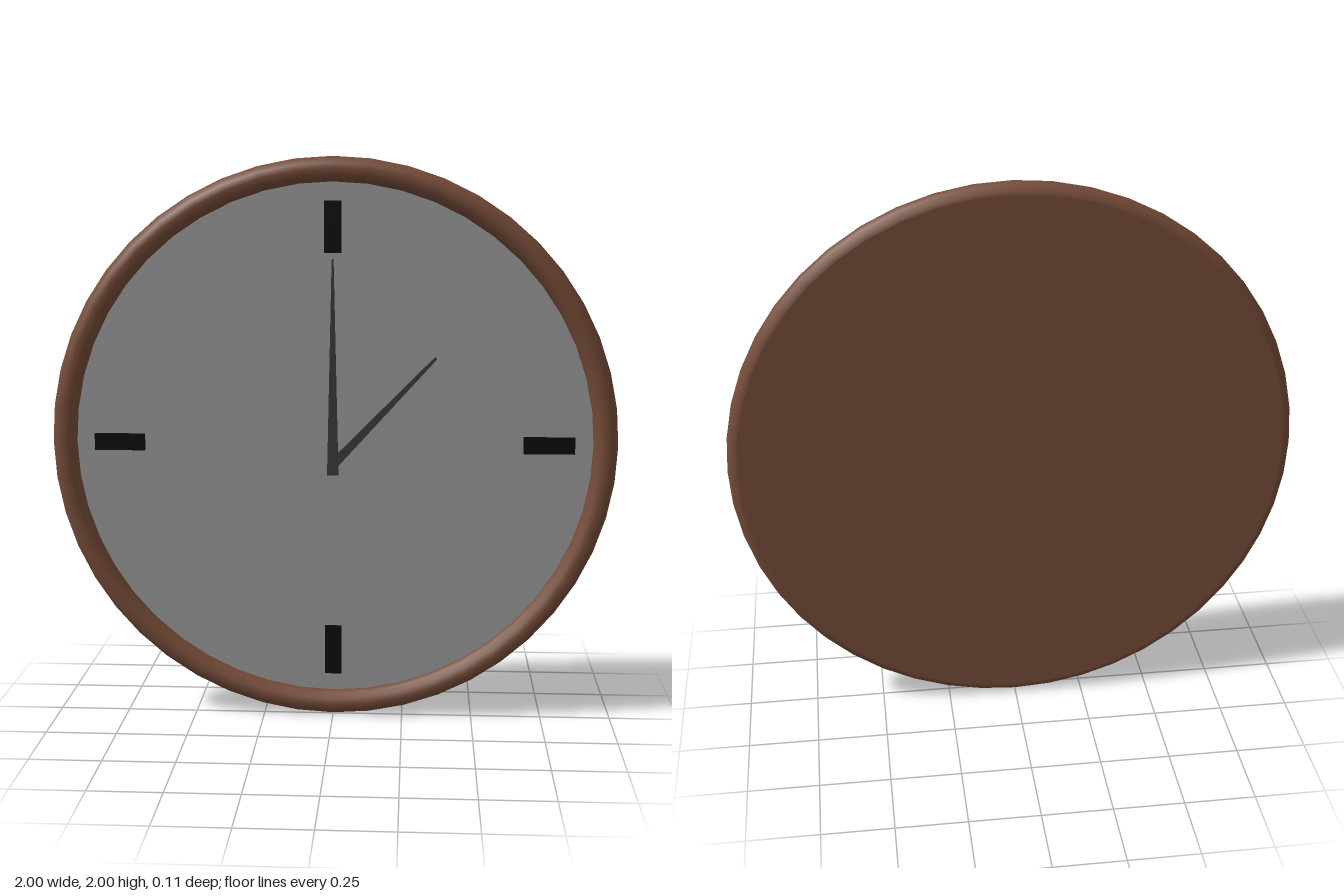
import * as THREE from 'three';

const wood = new THREE.MeshStandardMaterial({ color: 0x764c38 });
const dial = new THREE.MeshStandardMaterial({ color: 0x999999 });
const black = new THREE.MeshStandardMaterial({ color: 0x0c0c0c });
const steel = new THREE.MeshStandardMaterial({ color: 0x3a3a3c });

function addMesh(parent, name, geometry, material, x = 0, y = 0, z = 0) {
  const mesh = new THREE.Mesh(geometry, material);
  mesh.name = name;
  mesh.position.set(x, y, z);
  parent.add(mesh);
  return mesh;
}

// Tapered bar that starts at its own origin and narrows toward +y
function handGeometry(length, baseWidth, tipWidth, depth) {
  const geometry = new THREE.BoxGeometry(1, length, depth).translate(0, length / 2, 0);
  const p = geometry.attributes.position;
  for (let i = 0; i < p.count; i++) {
    const width = THREE.MathUtils.lerp(baseWidth, tipWidth, p.getY(i) / length);
    p.setX(i, p.getX(i) * width);
  }
  geometry.computeVertexNormals();
  return geometry;
}

export function createModel() {
  const root = new THREE.Group();
  root.name = 'wallClock';

  // The whole clock leans forward very slightly
  const clock = new THREE.Group();
  clock.name = 'clock';
  clock.position.y = 1;
  clock.rotation.x = 0.0125;
  root.add(clock);

  // Round wooden rim, closed at the back
  addMesh(clock, 'frame', new THREE.TorusGeometry(0.957, 0.043, 12, 48), wood);
  const back = addMesh(clock, 'backPanel', new THREE.CircleGeometry(0.965, 48), wood, 0, 0, -0.043);
  back.rotation.y = Math.PI;

  // Dial, recessed to the middle of the rim
  addMesh(clock, 'dial', new THREE.CircleGeometry(0.93, 48), dial);

  // Plain marks at the quarter hours
  for (let i = 0; i < 4; i++) {
    const a = (i * Math.PI) / 2;
    const mark = addMesh(clock, 'hourMark', new THREE.BoxGeometry(0.06, 0.18, 0.008), black,
      Math.sin(a) * 0.76, Math.cos(a) * 0.76, 0.004);
    mark.rotation.z = -a;
  }

  // Hands, both starting a little below the middle of the dial
  addMesh(clock, 'minuteHand', handGeometry(0.76, 0.04, 0.006, 0.012), steel, 0, -0.11, 0.022);
  const hour = addMesh(clock, 'hourHand', handGeometry(0.54, 0.034, 0.01, 0.012), steel, -0.01, -0.085, 0.012);
  hour.rotation.z = -0.755;

  return root;
}
